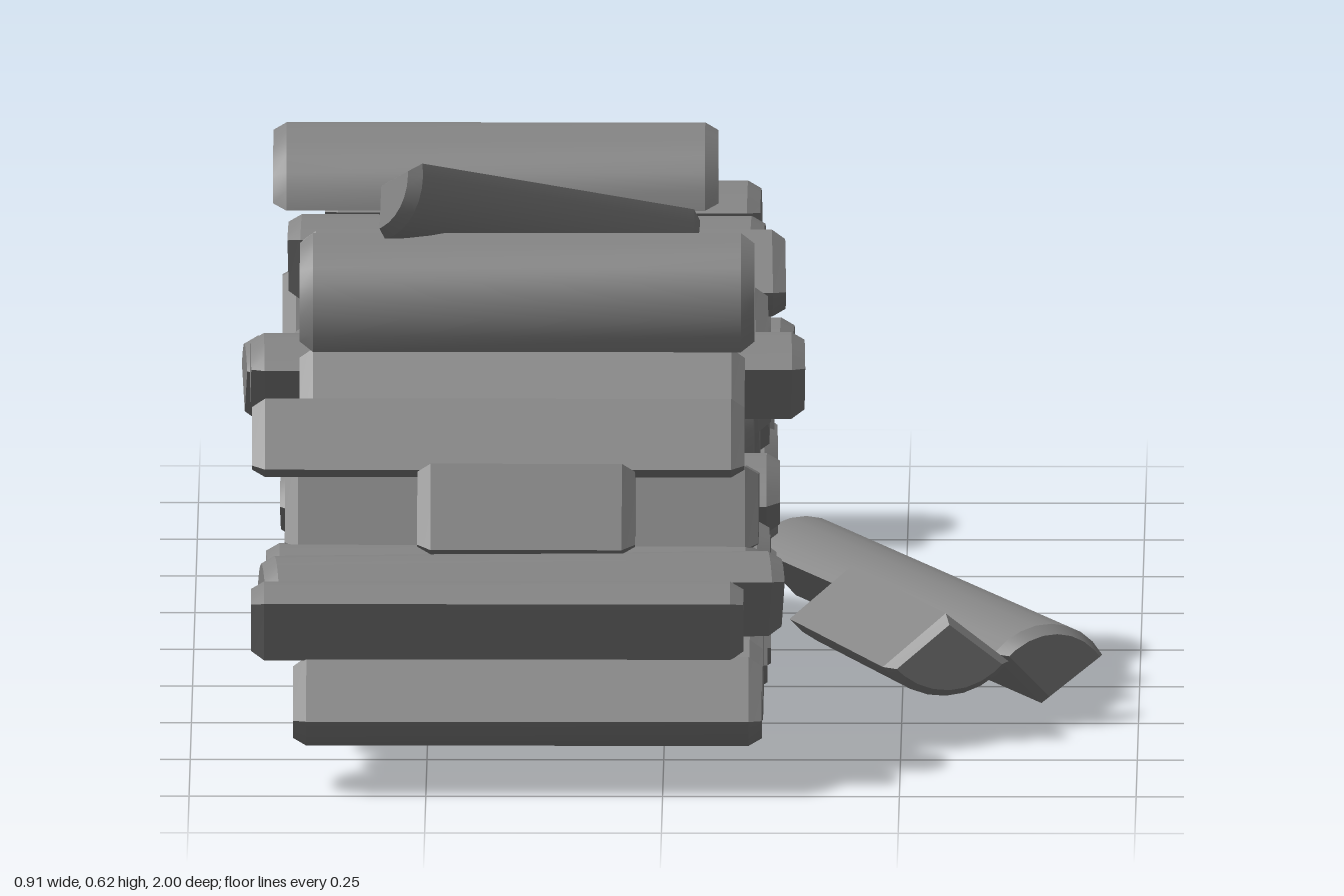
import * as THREE from 'three';
import { toCreasedNormals } from 'three/addons/utils/BufferGeometryUtils.js';

const rad = THREE.MathUtils.degToRad;
const material = new THREE.MeshStandardMaterial({ color: 0x858585 });

// Split log: a pie-slice section with chamfered ends, bark side up, length along x
function splitLog(name, r, length, half = 52) {
  const bevel = 0.008, cap = 0.014, s = new THREE.Shape();
  s.moveTo(0, -0.53 * r);
  s.lineTo(r * Math.sin(rad(half)), r * Math.cos(rad(half)) - 0.53 * r);
  s.absarc(0, -0.53 * r, r, rad(90 - half), rad(90 + half), false);
  s.lineTo(0, -0.53 * r);
  const g = new THREE.ExtrudeGeometry(s, {
    depth: length - 2 * cap, curveSegments: 4, bevelEnabled: true, bevelSegments: 1,
    bevelSize: bevel, bevelThickness: cap, bevelOffset: -bevel,
  });
  g.translate(0, 0, cap - length / 2).rotateY(-Math.PI / 2);
  const mesh = new THREE.Mesh(toCreasedNormals(g, 0.4), material);
  mesh.name = name;
  return mesh;
}

// bark: direction of the rounded side in degrees, 0 = front, 90 = up
function place(mesh, x, y, z, bark, yaw = 0, pitch = 0) {
  mesh.position.set(x, y, z);
  mesh.rotation.set(rad(90 - bark), rad(yaw), rad(pitch), 'YZX');
  return mesh;
}

// Rows of logs: z, y, bark direction, radius, and optionally length, x, yaw
const rows = {
  bottomRow: [
    [0.93, 0.088, 270, 0.094, 0.495, -0.143, 0], [0.80, 0.088, 265, 0.093], [0.68, 0.092, 275, 0.093],
    [0.555, 0.088, 270, 0.093], [0.42, 0.088, 268, 0.093], [0.28, 0.088, 273, 0.093],
    [0.14, 0.088, 270, 0.093], [0.0, 0.088, 267, 0.093], [-0.135, 0.088, 270, 0.093],
    [-0.255, 0.105, 270, 0.095, 0.42, -0.14],
  ],
  secondRow: [
    [0.92, 0.177, 106, 0.084, 0.52, -0.175, 0], [0.83, 0.19, 100, 0.09, 0.55, -0.15, 4],
    [0.72, 0.185, 100, 0.088, 0.52, -0.16], [0.61, 0.19, 80, 0.087], [0.52, 0.175, 85, 0.077],
    [0.43, 0.18, 100, 0.088], [0.31, 0.18, 110, 0.077], [0.20, 0.21, 30, 0.092],
    [0.09, 0.177, 80, 0.088], [-0.02, 0.195, 95, 0.095], [-0.13, 0.167, 90, 0.083],
    [-0.24, 0.2, 110, 0.08, 0.42, -0.14],
  ],
  thirdRow: [
    [0.78, 0.278, 245, 0.096, 0.23, -0.145, 0], [0.68, 0.265, 240, 0.09, 0.5, -0.15],
    [0.57, 0.257, 80, 0.085], [0.44, 0.285, 340, 0.09], [0.33, 0.267, 110, 0.083],
    [0.245, 0.29, 80, 0.08], [0.175, 0.25, 160, 0.07], [0.08, 0.28, 270, 0.092],
    [-0.03, 0.29, 95, 0.092], [-0.12, 0.255, 110, 0.068], [-0.185, 0.25, 80, 0.067],
  ],
  fourthRow: [
    [0.70, 0.338, 252, 0.083, 0.52, -0.175, 0], [0.62, 0.372, 258, 0.093, 0.47, -0.15, 0],
    [0.51, 0.375, 95, 0.092, 0.585, -0.145, 1], [0.37, 0.36, 20, 0.092], [0.23, 0.38, 90, 0.092],
    [0.165, 0.33, 290, 0.083], [0.07, 0.38, 240, 0.092],
  ],
  fifthRow: [
    [0.61, 0.475, 25, 0.083, 0.48, -0.145, 0], [0.51, 0.46, 85, 0.08],
    [0.45, 0.415, 260, 0.083], [0.355, 0.455, 270, 0.092],
    [0.25, 0.46, 105, 0.092], [0.115, 0.475, 100, 0.094, 0.46, -0.13],
  ],
  topRow: [[0.2, 0.54, 60, 0.092, 0.47, -0.18, 0]],
  smallStack: [
    [-0.56, 0.088, 265, 0.093, 0.38, -0.155, 2], [-0.675, 0.09, 270, 0.08, 0.46, -0.15, 1],
    [-0.795, 0.09, 270, 0.093, 0.47, -0.155, -1], [-0.685, 0.187, 95, 0.09, 0.55, -0.175, 3],
    [-0.79, 0.187, 85, 0.091, 0.5, -0.12, -1], [-0.735, 0.257, 260, 0.095, 0.23, -0.155, -15],
  ],
};

export function createModel() {
  const model = new THREE.Group();
  model.name = 'woodpile';
  let seed = 7;
  const jitter = () => ((seed = (seed * 16807) % 2147483647) / 2147483647 - 0.5) * 2;

  for (const [name, logs] of Object.entries(rows)) {
    const row = new THREE.Group();
    row.name = name;
    logs.forEach(([z, y, bark, r, length, x, yaw], i) => {
      const len = length ?? 0.49 + jitter() * 0.025;
      const log = splitLog(`${name}Log${i + 1}`, r, len);
      row.add(place(log, x ?? -0.14 + jitter() * 0.015, y, z, bark, yaw ?? jitter() * 1.5));
    });
    model.add(row);
  }

  // Loose logs fallen around and lying on the pile
  model.add(
    place(splitLog('leaningSideLog', 0.086, 0.53), 0.272, 0.069, 0.15, 95, -58.5, -5.5),
    place(splitLog('fallenSideLog', 0.088, 0.37), 0.247, 0.09, 0.46, 270, -73),
    place(splitLog('leaningTopLog', 0.06, 0.4), -0.135, 0.535, 0.495, -25, 38, -13),
    place(splitLog('strayBackLog', 0.068, 0.27, 42), -0.155, 0.068, -0.967, 55),
  );
  return model;
}
